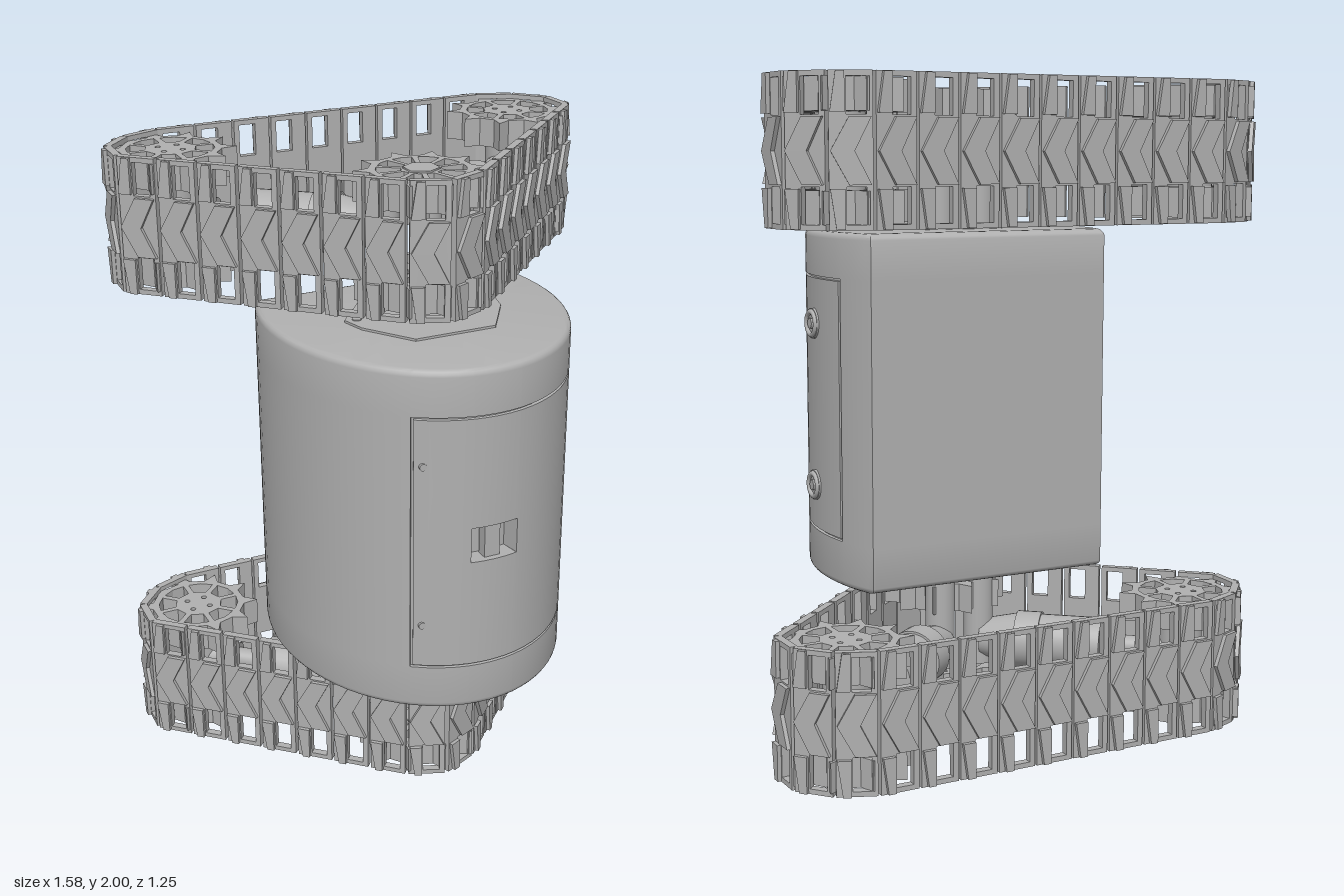
import * as THREE from 'three';
import { mergeGeometries, toCreasedNormals } from 'three/addons/utils/BufferGeometryUtils.js';

const grey = new THREE.MeshStandardMaterial({ color: 0xb0b0b0 });
grey.name = 'plain grey';

function add(parent, geometry, name, x = 0, y = 0, z = 0) {
  const m = new THREE.Mesh(geometry, grey);
  m.name = name;
  m.position.set(x, y, z);
  parent.add(m);
  return m;
}

// Cylinder between two points
function rod(parent, name, a, b, r0, r1 = r0, sides = 32) {
  const p = new THREE.Vector3(...a), q = new THREE.Vector3(...b), d = q.clone().sub(p);
  const m = add(parent, new THREE.CylinderGeometry(r1, r0, d.length(), sides), name);
  m.position.copy(p).add(q).multiplyScalar(0.5);
  m.quaternion.setFromUnitVectors(new THREE.Vector3(0, 1, 0), d.normalize());
  return m;
}

// Upright slab from an outline in x, z
function slab(shape, depth) {
  return new THREE.ExtrudeGeometry(shape, { depth, bevelEnabled: false, curveSegments: 6 })
    .rotateX(-Math.PI / 2).translate(0, -depth / 2, 0);
}

const polygon = pts => new THREE.Shape(pts.map(p => new THREE.Vector2(...p)));

// ---- Body: ellipse with a flat back, door groove and handle pocket sunk by rule
const CX = -0.005, CZ = 0.06, RX = 0.455, RZ = 0.562, BACK = -0.2;
const Y0 = 0.455, Y1 = 1.55;
const door = { t0: -0.543, t1: 1.786, y0: 0.6, y1: 1.41 };
const pocket = { t0: -0.165, t1: 0.165, y0: 0.95, y1: 1.06 };
const inside = (t, y, b, g = 0) => t > b.t0 + g / 0.45 && t < b.t1 - g / 0.45 && y > b.y0 + g && y < b.y1 - g;

function surfacePoint(t, y, inset) {
  return [CX + (RX - inset) * Math.sin(t), y, Math.max(CZ + (RZ - inset) * Math.cos(t), BACK + inset * 2)];
}

function bodyGeometry() {
  const e = 0.0004, gap = 0.007, corner = Math.acos((BACK - CZ) / RZ);
  const cols = [corner, -corner], rows = [];
  for (let i = 0; i < 72; i++) cols.push(-Math.PI + (i * Math.PI) / 36);
  const edges = (list, a, b, k) => [a, b].forEach(v => list.push(v - e * k, v + e * k));
  edges(cols, door.t0, door.t1, 2);
  edges(cols, door.t0 + gap / 0.45, door.t1 - gap / 0.45, 2);
  edges(cols, pocket.t0, pocket.t1, 2);
  edges(rows, door.y0, door.y1, 1);
  edges(rows, door.y0 + gap, door.y1 - gap, 1);
  edges(rows, pocket.y0, pocket.y1, 1);
  const round = 0.02;
  for (let i = 0; i <= 4; i++) {
    const h = round * (1 - Math.sin((i * Math.PI) / 8));
    rows.push(Y0 + h, Y1 - h);
  }
  cols.sort((a, b) => a - b);
  rows.sort((a, b) => a - b);
  const pos = [], idx = [], n = cols.length;
  for (const y of rows) {
    const h = Math.max(0, round - Math.min(y - Y0, Y1 - y));
    const rim = round - Math.sqrt(Math.max(0, round * round - h * h));
    for (const t of cols) {
      const groove = inside(t, y, door) && !inside(t, y, door, gap);
      pos.push(...surfacePoint(t, y, inside(t, y, pocket) ? 0.06 : groove ? 0.01 : rim));
    }
  }
  for (let j = 0; j < rows.length - 1; j++) for (let i = 0; i < n; i++) {
    const k = (i + 1) % n, a = j * n + i, b = j * n + k;
    idx.push(a, b, b + n, a, b + n, a + n);
  }
  const low = pos.length / 3, top = (rows.length - 1) * n;
  pos.push(CX, Y0, CZ, CX, Y1, CZ);
  for (let i = 0; i < n; i++) {
    const k = (i + 1) % n;
    idx.push(low, k, i, low + 1, top + i, top + k);
  }
  const g = new THREE.BufferGeometry();
  g.setAttribute('position', new THREE.Float32BufferAttribute(pos, 3));
  g.setIndex(idx);
  return toCreasedNormals(g, 0.55);
}

// ---- Track link: slotted plate with raised chevron and edge pads
function linkGeometry() {
  const L = 0.059, H = 0.21;
  const plate = polygon([[-L, -H], [L, -H], [L, H], [-L, H]]);
  for (const s of [-1, 1]) {
    const a = 0.095 * s, b = 0.195 * s;
    plate.holes.push(new THREE.Path([[-0.012, a], [0.042, a], [0.042, b], [-0.012, b]].map(p => new THREE.Vector2(...p))));
  }
  const flat = (shape, z, depth) =>
    new THREE.ExtrudeGeometry(shape, { depth, bevelEnabled: false }).translate(0, 0, z);
  const parts = [flat(plate, -0.018, 0.024)];
  parts.push(flat(polygon([[-0.055, 0], [-0.005, -0.09], [0.055, -0.09], [0.01, 0], [0.055, 0.09], [-0.005, 0.09]]), 0.006, 0.012));
  for (const s of [-1, 1])
    parts.push(flat(polygon([[-0.056, 0.1 * s], [-0.016, 0.1 * s], [-0.016, 0.208 * s], [-0.04, 0.208 * s]]), 0.006, 0.012));
  return mergeGeometries(parts);
}

// ---- Sprocket: ten teeth, spoked web
function sprocketGeometry(spokes, hub) {
  const polar = (r, a) => [r * Math.cos(a), r * Math.sin(a)];
  const pts = [];
  for (let i = 0; i < 10; i++) {
    const a = Math.PI / 2 + (i * Math.PI) / 5;
    pts.push(polar(0.155, a - 0.15), polar(0.2, a), polar(0.155, a + 0.15));
  }
  const shape = polygon(pts);
  for (let i = 0; i < spokes; i++) {
    const a = ((i + 0.5) * 2 * Math.PI) / spokes, w = Math.PI / spokes;
    const hole = [polar(hub, a - w + 0.12), polar(0.132, a - w + 0.07), polar(0.134, a), polar(0.132, a + w - 0.07), polar(hub, a + w - 0.12)];
    shape.holes.push(new THREE.Path(hole.map(p => new THREE.Vector2(...p))));
  }
  for (let i = 0; i < 4; i++) {
    const [x, y] = polar(0.042, Math.PI / 4 + (i * Math.PI) / 2);
    if (spokes === 8) shape.holes.push(new THREE.Path().absarc(x, y, 0.009, 0, Math.PI * 2));
  }
  return slab(shape, 0.09);
}

// Pin positions (x, z) around the triangular loop, running front, right, back, left
function pinLoop() {
  const half = [[0, 0.325]];
  for (let i = 0; i <= 7; i++) half.push([0.12 + (0.65 * i) / 7, 0.275 - (0.615 * i) / 7]);
  half.push([0.765, -0.465], [0.68, -0.56]);
  for (let i = 0; i < 5; i++) half.push([0.565 - i * 0.1256, -0.605]);
  return half.concat(half.slice(1).reverse().map(([x, z]) => [-x, z]));
}

// One track unit; s points from the track towards the body
function trackUnit(name, y, s, link, rearSprocket, frontSprocket) {
  const g = new THREE.Group();
  g.name = name;
  g.position.y = y;
  const pins = pinLoop();
  pins.forEach(([x, z], i) => {
    const [x2, z2] = pins[(i + 1) % pins.length];
    add(g, link, 'trackLink', (x + x2) / 2, 0, (z + z2) / 2).rotation.y = Math.atan2(z - z2, x2 - x);
  });

  // Front sprocket pair, axle and hex nuts
  for (const v of [-0.15, 0.15]) {
    add(g, frontSprocket, 'frontSprocket', -0.005, v, 0.13);
    add(g, new THREE.CylinderGeometry(0.055, 0.055, 0.1, 6), 'hexHub', -0.005, v, 0.13);
  }
  rod(g, 'frontAxle', [-0.005, -0.2, 0.13], [-0.005, 0.2, 0.13], 0.025);
  rod(g, 'axleNut', [-0.005, s * 0.19, 0.13], [-0.005, s * 0.225, 0.13], 0.036, 0.036, 6);

  for (const side of [-1, 1]) {
    // Rear sprocket pair with hub
    for (const v of [-0.15, 0.15]) add(g, rearSprocket, 'rearSprocket', side * 0.58, v, -0.41);
    rod(g, 'rearHub', [side * 0.58, -0.11, -0.41], [side * 0.58, 0.11, -0.41], 0.07);
    // Angled drive arm from the centre to the rear sprocket
    const at = t => [side * (0.07 + 0.51 * t), 0, 0.01 - 0.42 * t];
    rod(g, 'armElbow', at(0.02), at(0.2), 0.06, 0.085);
    rod(g, 'armCollar', at(0.2), at(0.32), 0.092);
    rod(g, 'armMotor', at(0.32), at(0.62), 0.085);
    rod(g, 'armShaft', at(0.6), at(0.97), 0.034);
    rod(g, 'armSocket', at(0.79), at(0.95), 0.05, 0.058);
    // Post that joins the arm to the body
    rod(g, 'mountPost', [side * 0.07, -s * 0.08, 0.01], [side * 0.07, s * 0.245, 0.01], 0.048);
  }
  return g;
}

export function createModel() {
  const model = new THREE.Group();
  model.name = 'trackedRobot';
  add(model, bodyGeometry(), 'body');

  // Handle bar in the door pocket, door screws
  add(model, new THREE.BoxGeometry(0.05, 0.112, 0.035), 'handleBar', -0.005, 1.005, 0.585);
  for (const y of [0.745, 1.26]) {
    const [x, , z] = surfacePoint(-0.467, y, 0);
    rod(model, 'doorScrew', [x, y, z - 0.01], [x - 0.002, y, z + 0.004], 0.011, 0.011, 12);
  }

  // Round ports on the left side
  for (const y of [0.745, 1.26]) {
    rod(model, 'portBase', [0.43, y, 0.135], [0.455, y, 0.135], 0.048);
    const rim = add(model, new THREE.TorusGeometry(0.036, 0.009, 10, 32), 'portRim', 0.455, y, 0.135);
    rim.rotation.y = Math.PI / 2;
    rod(model, 'portCore', [0.45, y, 0.135], [0.462, y, 0.135], 0.018, 0.018, 6);
  }

  // Mounting plates with screws on both ends
  const outline = polygon([[-0.13, 0.03], [0.13, 0.03], [0.25, -0.12], [0.23, -0.2], [0.13, -0.35], [-0.13, -0.35], [-0.23, -0.2], [-0.25, -0.12]]);
  const plate = slab(outline, 0.008);
  for (const y of [Y0 - 0.003, Y1 + 0.003]) {
    add(model, plate, 'mountPlate', 0, y, 0);
    for (const x of [-0.215, 0.215])
      add(model, new THREE.CylinderGeometry(0.014, 0.014, 0.014, 16), 'plateScrew', x, y, 0.13);
  }
  rod(model, 'bottomKnob', [0, 0.425, 0.385], [0, 0.46, 0.385], 0.028);

  const link = linkGeometry(), rear = sprocketGeometry(8, 0.078), front = sprocketGeometry(10, 0.06);
  model.add(trackUnit('upperTrack', 1.79, -1, link, rear, front));
  model.add(trackUnit('lowerTrack', 0.21, 1, link, rear, front));
  return model;
}
